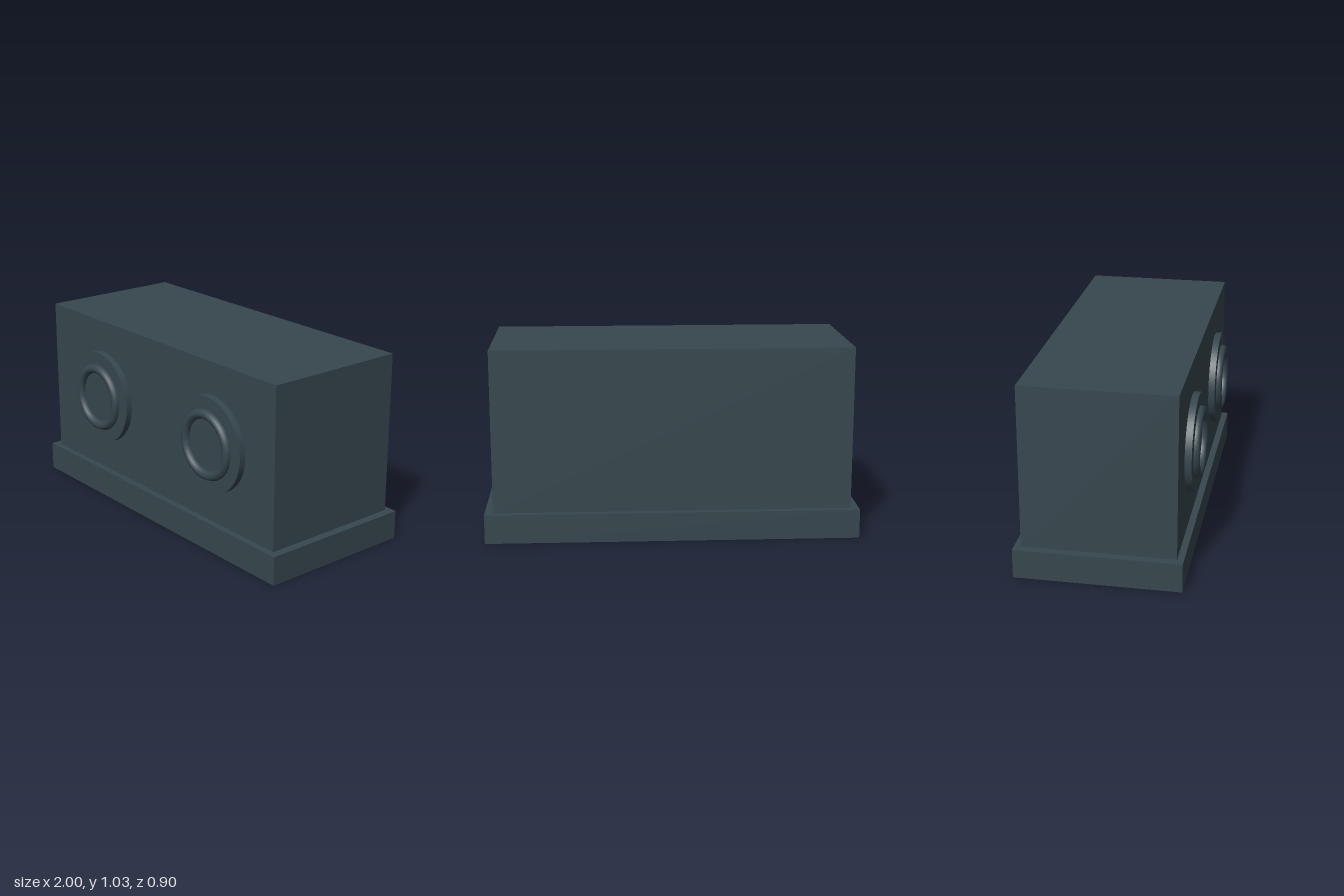
import * as THREE from 'three';

export function createModel() {
  const model = new THREE.Group();
  const slate = new THREE.MeshStandardMaterial({ color: 0x37474f });
  slate.name = 'slate';

  const add = (name, geometry, x, y, z) => {
    const mesh = new THREE.Mesh(geometry, slate);
    mesh.name = name;
    mesh.position.set(x, y, z);
    model.add(mesh);
  };

  // Plinth and the block standing on it
  add('base', new THREE.BoxGeometry(2, 0.157, 0.87), 0, 0.0785, -0.015);
  add('body', new THREE.BoxGeometry(1.91, 0.873, 0.8), 0, 0.5935, -0.015);

  // Two round plates on the front, each with a raised ring
  const plate = new THREE.CylinderGeometry(0.26, 0.26, 0.05, 48).rotateX(Math.PI / 2);
  const ring = new THREE.TorusGeometry(0.165, 0.026, 8, 48);
  for (const [side, x] of [['left', 0.478], ['right', -0.478]]) {
    add(side + 'Plate', plate, x, 0.594, 0.396);
    add(side + 'Ring', ring, x, 0.594, 0.425);
  }
  return model;
}
